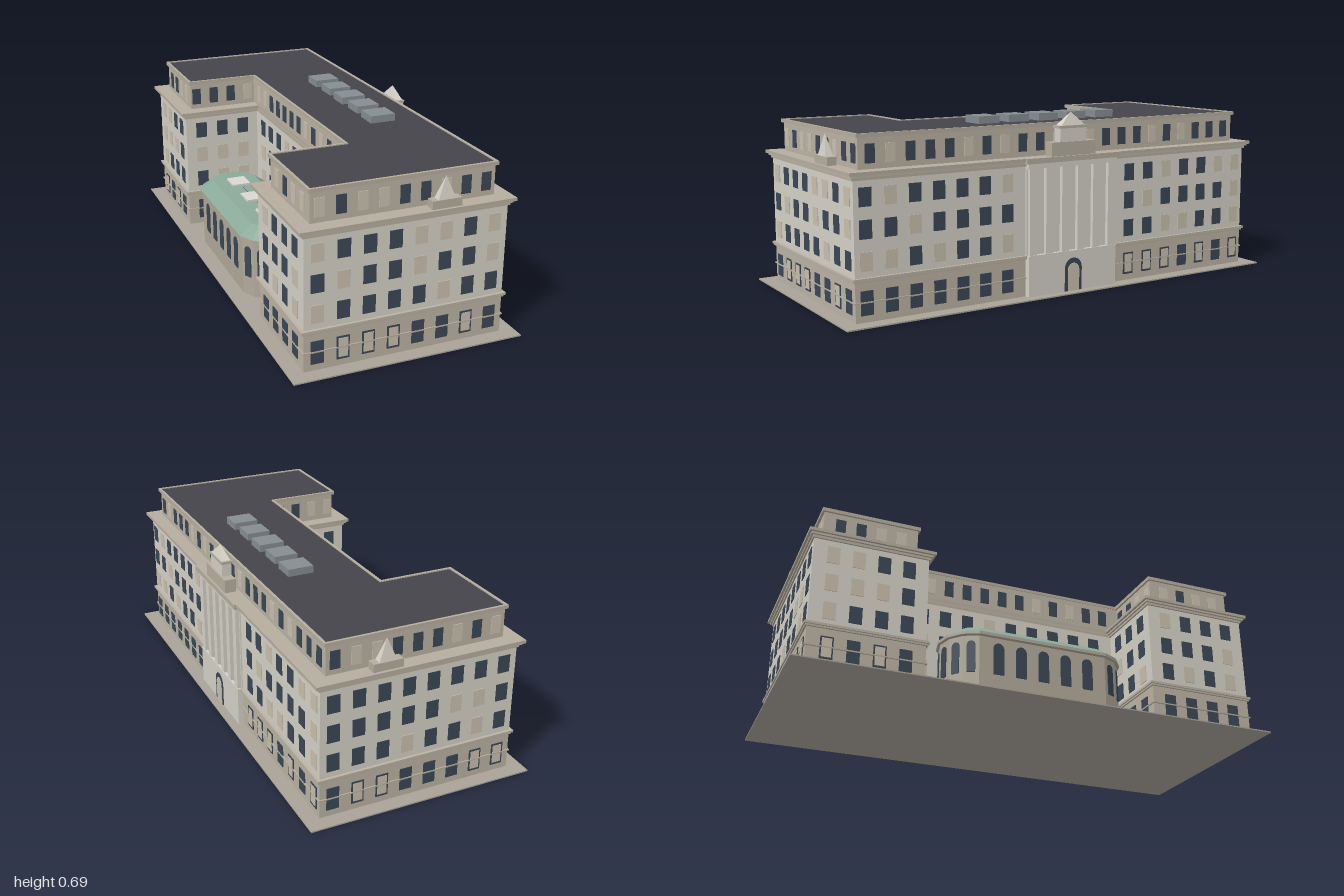
import * as THREE from 'three';
import { mergeGeometries } from 'three/addons/utils/BufferGeometryUtils.js';

const mat = (color, flat = false) => new THREE.MeshStandardMaterial({ color, flatShading: flat });
const M = {
  wall: mat(0xd4d0c6), stone: mat(0xbab2a3), trim: mat(0xb5ad9e), roof: mat(0x45444a),
  plate: mat(0xa8a297), glass: mat(0x3a4755), lit: mat(0xc8bfae), green: mat(0x8aa999, true),
  pavilion: mat(0xb0a899, true), skylight: mat(0x858d90), pale: mat(0xdad7d0), spire: mat(0xd4d0c6, true),
};

function add(parent, name, geo, material) {
  const m = new THREE.Mesh(geo, material);
  m.name = name;
  parent.add(m);
  return m;
}
// Box given by centre x, bottom y, centre z and sizes
const box = (x, y, z, w, h, d) => new THREE.BoxGeometry(w, h, d).translate(x, y + h / 2, z);

// U-shaped plan around the courtyard, extruded from y0 to y1
const COURT_X = -0.055;
function uShape(hx, hz, wingZ, courtX) {
  const s = new THREE.Shape();
  [[-hx, -hz], [hx, -hz], [hx, hz], [-hx, hz], [-hx, wingZ], [courtX, wingZ], [courtX, -wingZ], [-hx, -wingZ]]
    .forEach(([x, y], i) => (i ? s.lineTo(x, y) : s.moveTo(x, y)));
  return s;
}
function uSlab(grow, y0, y1, courtGrow = Math.min(grow, 0.004)) {
  const s = uShape(0.378 + grow, 0.889 + grow, 0.46 - grow, COURT_X - Math.max(courtGrow, 0));
  return new THREE.ExtrudeGeometry(s, { depth: y1 - y0, bevelEnabled: false })
    .rotateX(-Math.PI / 2).translate(0, y0, 0);
}

// Thin arched panel standing on y = 0 and facing +z
function arch(w, h, d) {
  const s = new THREE.Shape();
  s.moveTo(-w / 2, 0).lineTo(w / 2, 0).lineTo(w / 2, h - w / 2);
  s.absarc(0, h - w / 2, w / 2, 0, Math.PI, false);
  s.lineTo(-w / 2, 0);
  return new THREE.ExtrudeGeometry(s, { depth: d, bevelEnabled: false, curveSegments: 6 });
}

let seed = 7;
const rand = () => (seed = (seed * 16807) % 2147483647) / 2147483647;

// All windows of one wall; the wall faces +z before it is turned by angle
function facade(parent, name, x, z, angle, o) {
  const g = new THREE.Group();
  g.name = name;
  g.position.set(x, 0, z);
  g.rotation.y = angle;
  parent.add(g);
  const dark = [], lit = [];
  const gap = o.gap ?? 0.094;
  for (let i = 0; i < o.n; i++) {
    const u = (i - (o.n - 1) / 2) * gap;
    if (Math.abs(u) < (o.skip ?? -1)) continue;
    const isLit = (row) => (o.pattern ? o.pattern[row][i] === 'o' : rand() < 0.36);
    // Ground floor: framed, lit ones keep a dark frame
    dark.push(box(u, 0.03, 0, 0.047, 0.086, 0.006));
    if (isLit(0)) lit.push(box(u, 0.038, 0, 0.036, 0.072, 0.008));
    // Three upper floors
    [0.183, 0.294, 0.405].forEach((y, r) =>
      (isLit(r + 1) ? lit : dark).push(box(u, y, 0, 0.047, 0.066, 0.005)));
  }
  // Attic floor, set back
  const back = -(o.setback ?? 0.036);
  for (let i = 0; i < o.attic; i++) {
    const u = (i - (o.attic - 1) / 2) * 0.077 + (o.shift ?? 0);
    (rand() < 0.36 ? lit : dark).push(box(u, 0.545, back, 0.037, 0.067, 0.005));
  }
  add(g, 'darkWindows', mergeGeometries(dark), M.glass);
  if (lit.length) add(g, 'litWindows', mergeGeometries(lit), M.lit);
}

// Lathe stretched along z into a stadium plan
const PAV_SIDES = 14, PAV_HALF = 0.225;
function stadium(profile) {
  const geo = new THREE.LatheGeometry(profile.map(([r, y]) => new THREE.Vector2(r, y)), PAV_SIDES);
  const p = geo.attributes.position;
  for (let i = 0; i < p.count; i++) p.setZ(i, p.getZ(i) + Math.sign(p.getZ(i)) * PAV_HALF);
  geo.computeVertexNormals();
  return geo;
}

// Small pyramid on a plinth
function ornament(parent, name, x, z, angle) {
  const g = new THREE.Group();
  g.name = name;
  g.position.set(x, 0.525, z);
  g.rotation.y = angle;
  parent.add(g);
  add(g, 'plinth', box(0, 0, 0, 0.112, 0.03, 0.036), M.trim);
  add(g, 'pyramid', pyramid(0.066, 0.08, 0.03).translate(0, 0.03, 0), M.spire);
}
const pyramid = (w, h, d) => new THREE.ConeGeometry(Math.SQRT1_2, 1, 4).rotateY(Math.PI / 4)
  .scale(w, h, d).translate(0, h / 2, 0);

export function createModel() {
  const model = new THREE.Group();
  model.name = 'building';
  const b = new THREE.Group();
  b.name = 'turnedBuilding';
  b.rotation.y = 0.1485;
  model.add(b);

  // Ground plate and storeys
  add(b, 'groundPlate', box(0, 0, 0, 0.87, 0.005, 1.891), M.plate);
  add(b, 'groundFloor', uSlab(0, 0.005, 0.145), M.stone);
  add(b, 'windowRail', uSlab(0.005, 0.073, 0.078), M.trim);
  add(b, 'lowerBelt', uSlab(0.006, 0.145, 0.152), M.trim);
  add(b, 'upperBelt', uSlab(0.011, 0.152, 0.161), M.stone);
  add(b, 'upperFloors', uSlab(0, 0.161, 0.495), M.wall);
  [[0.006, 0.495, 0.505], [0.013, 0.505, 0.513], [0.022, 0.513, 0.525]].forEach(([grow, y0, y1], i) =>
    add(b, 'cornice' + (i + 1), uSlab(grow, y0, y1, 0), i === 1 ? M.stone : M.trim));
  add(b, 'atticFloor', uSlab(-0.036, 0.525, 0.636), M.stone);
  add(b, 'roofEdge', uSlab(-0.028, 0.634, 0.641), M.trim);

  // Parapet ring around the dark roof
  const rim = uShape(0.35, 0.862, 0.488, COURT_X - 0.003);
  rim.holes.push(new THREE.Path(uShape(0.34, 0.852, 0.498, COURT_X + 0.007).getPoints().reverse()));
  add(b, 'parapet', new THREE.ExtrudeGeometry(rim, { depth: 0.012, bevelEnabled: false })
    .rotateX(-Math.PI / 2).translate(0, 0.636, 0), M.trim);
  add(b, 'roof', new THREE.ExtrudeGeometry(uShape(0.341, 0.853, 0.497, COURT_X + 0.006),
    { depth: 0.004, bevelEnabled: false }).rotateX(-Math.PI / 2).translate(0, 0.64, 0), M.roof);
  for (let i = -2; i <= 2; i++)
    add(b, 'roofSkylight', box(0.18, 0.64, i * 0.134, 0.1 - (i % 2 ? 0.008 : 0), 0.032, 0.09), M.skylight);

  // Windows of every wall
  facade(b, 'frontWindows', 0, 0.889, 0,
    { n: 8, attic: 9, pattern: ['.ooo..o.', 'o....o..', '.o..o..o', 'o...oo.o'] });
  facade(b, 'backWindows', 0, -0.889, Math.PI, { n: 8, attic: 9 });
  facade(b, 'rightWindows', 0.378, 0, Math.PI / 2, { n: 19, attic: 22, skip: 0.25 });
  facade(b, 'courtWindows', COURT_X, 0, -Math.PI / 2, { n: 9, attic: 12, setback: 0 });
  for (const s of [1, -1]) {
    facade(b, 'wingEndWindows', -0.378, s * 0.6745, -Math.PI / 2, { n: 4, attic: 4 });
    facade(b, 'wingInnerWindows', -0.2165, s * 0.46, s > 0 ? Math.PI : 0,
      { n: 3, attic: 4, shift: s > 0 ? -0.015 : 0.015 });
  }

  // Entrance portico on the right side
  const portico = new THREE.Group();
  portico.name = 'portico';
  b.add(portico);
  add(portico, 'porticoBase', box(0.382, 0.005, 0, 0.036, 0.156, 0.405), M.wall);
  add(portico, 'porticoWall', box(0.377, 0.161, 0, 0.012, 0.334, 0.405), M.wall);
  add(portico, 'porticoLintel', box(0.38, 0.485, 0, 0.036, 0.02, 0.405), M.wall);
  add(portico, 'porticoCornice', box(0.38, 0.505, 0, 0.056, 0.02, 0.43), M.trim);
  for (let i = 0; i < 6; i++)
    add(portico, 'pilaster', box(0.387, 0.161, (i - 2.5) * 0.072, 0.022, 0.326, 0.032), M.wall);
  add(portico, 'doorFrame', arch(0.078, 0.128, 0.004).rotateY(Math.PI / 2).translate(0.398, 0.005, 0), M.glass);
  add(portico, 'door', arch(0.052, 0.108, 0.006).rotateY(Math.PI / 2).translate(0.398, 0.005, 0), M.lit);
  add(portico, 'crestBase', box(0.377, 0.525, 0, 0.045, 0.052, 0.2), M.trim);
  add(portico, 'crestBlock', box(0.375, 0.577, 0, 0.038, 0.05, 0.12), M.wall);
  add(portico, 'crestCap', box(0.375, 0.627, 0, 0.044, 0.01, 0.13), M.trim);
  add(portico, 'crestPyramid', pyramid(0.036, 0.05, 0.11).translate(0.375, 0.636, 0), M.spire);

  // Pyramids on the end cornices
  ornament(b, 'frontOrnament', 0.135, 0.882, 0);
  ornament(b, 'backOrnament', 0.135, -0.882, Math.PI);

  // Courtyard pavilion with a hipped green roof
  const pav = new THREE.Group();
  pav.name = 'pavilion';
  pav.position.set(-0.24, 0, 0);
  b.add(pav);
  const R = 0.137;
  add(pav, 'pavilionWalls', stadium([[R, 0.005], [R, 0.232]]), M.pavilion);
  add(pav, 'pavilionEave', stadium([[R, 0.228], [0.146, 0.232], [0.146, 0.244]]), M.pavilion);
  add(pav, 'pavilionRoof', stadium([[0.146, 0.244], [0.092, 0.283], [0.001, 0.285]]), M.green);
  for (let i = -1; i <= 1; i++)
    add(pav, 'pavilionSkylight', box(0, 0.28, i * 0.18, 0.075, 0.012, 0.085), M.pale);
  const arches = [];
  const sideX = R * Math.sin((6 * Math.PI) / PAV_SIDES);
  for (const s of [1, -1]) {
    for (let i = -2; i <= 2; i++)
      arches.push(arch(0.042, 0.125, 0.003).rotateY((s * Math.PI) / 2).translate(s * sideX, 0.082, i * 0.09));
    for (let k = -3; k < 3; k++) {
      const a = ((k + 0.5) * 2 * Math.PI) / PAV_SIDES + (s > 0 ? 0 : Math.PI);
      arches.push(arch(0.032, 0.125, 0.003).translate(0, 0.082, R * Math.cos(Math.PI / PAV_SIDES))
        .rotateY(a).translate(0, 0, s * PAV_HALF));
    }
  }
  add(pav, 'pavilionWindows', mergeGeometries(arches), M.glass);
  return model;
}
